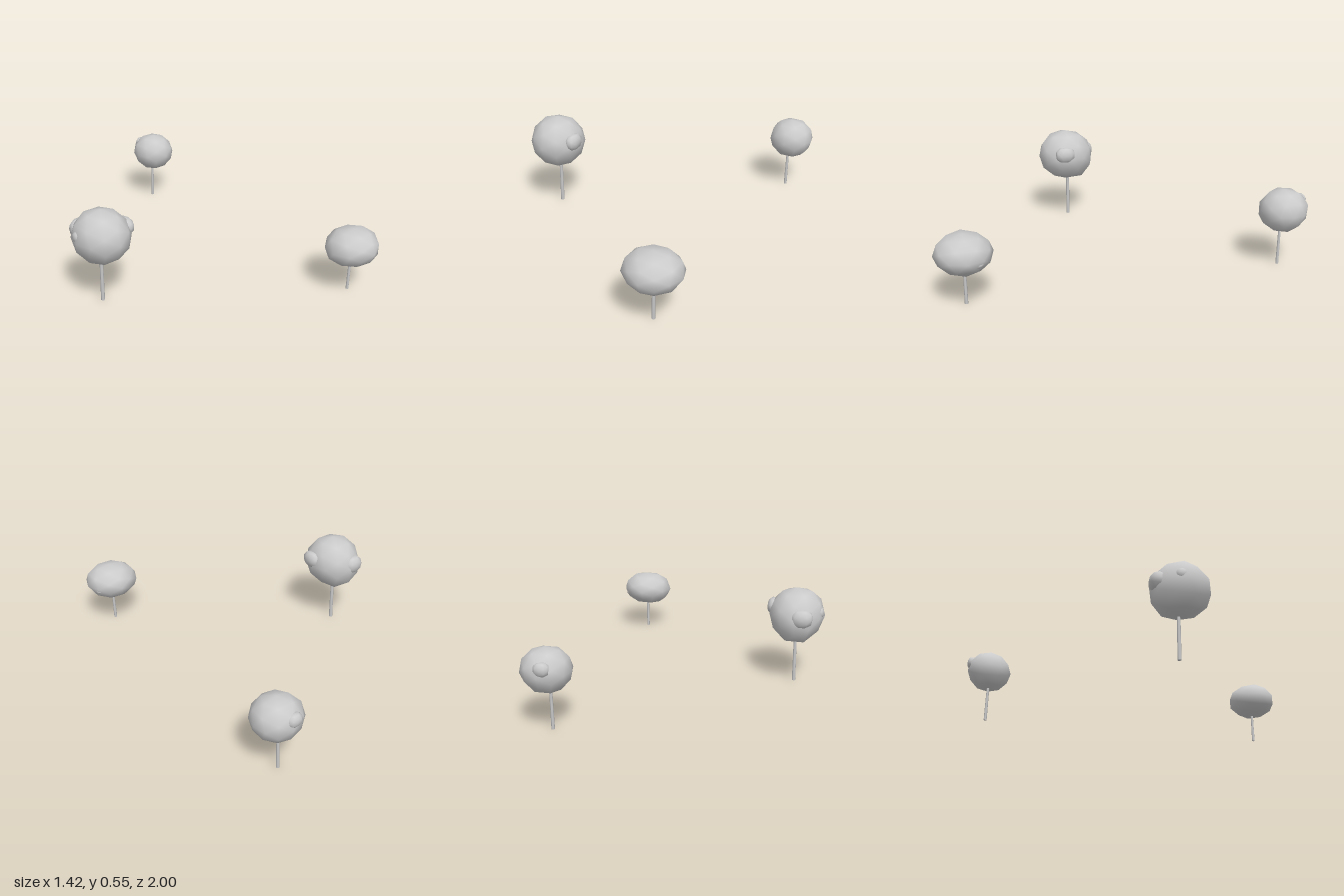
import * as THREE from 'three';
import { mergeVertices } from 'three/addons/utils/BufferGeometryUtils.js';

const material = new THREE.MeshStandardMaterial({ color: 0xcccccc });

// Smooth-shaded icosphere whose points are moved by a rule
function blob(detail, move) {
  let geo = new THREE.IcosahedronGeometry(1, detail);
  geo.deleteAttribute('normal');
  geo.deleteAttribute('uv');
  geo = mergeVertices(geo, 1e-4);
  const pos = geo.attributes.position;
  const v = new THREE.Vector3();
  for (let i = 0; i < pos.count; i++) {
    v.fromBufferAttribute(pos, i);
    move(v);
    pos.setXYZ(i, v.x, v.y, v.z);
  }
  geo.computeVertexNormals();
  return new THREE.Mesh(geo, material);
}

// Each tree: trunk base, crown bounds, directional bulges and small leaf lumps
const trees = [
  {
    name: 'largeTree', base: [-0.55, 0.045], radius: 0.011,
    min: [-0.705, 0.245, -0.11], max: [-0.395, 0.55, 0.225],
    bulges: [[-0.1, -0.75, -0.65, 0.12], [-0.8, 0.5, 0, 0.05]],
    lumps: [
      [-0.42, 0.427, 0.09, 0.038, 0.046, 0.058],
      [-0.59, 0.41, -0.075, 0.06, 0.05, 0.045],
      [-0.67, 0.42, 0.03, 0.034, 0.035, 0.035],
    ],
  },
  {
    name: 'backTree', base: [0.557, -0.86], radius: 0.009,
    min: [0.44, 0.2, -0.99], max: [0.7, 0.438, -0.73],
    bulges: [[-0.6, 0.5, -0.6, 0.08], [0.5, 0.5, -0.7, 0.06]],
    lumps: [
      [0.648, 0.29, -0.85, 0.03, 0.022, 0.04],
      [0.55, 0.36, -0.968, 0.04, 0.035, 0.03],
    ],
  },
  {
    name: 'frontTree', base: [0.55, 0.847], radius: 0.009,
    min: [0.41, 0.168, 0.7], max: [0.692, 0.373, 0.997],
    bulges: [[-0.85, -0.5, 0, 0.14], [-0.85, 0.5, 0, 0.1], [0.85, 0.5, 0, 0.1], [0.85, -0.5, 0, 0.05]],
    lumps: [
      [0.65, 0.25, 0.8, 0.03, 0.02, 0.035],
      [0.48, 0.325, 0.81, 0.035, 0.022, 0.025],
    ],
  },
];

function createTree(spec) {
  const tree = new THREE.Group();
  tree.name = spec.name;
  const min = new THREE.Vector3(...spec.min);
  const max = new THREE.Vector3(...spec.max);
  const centre = min.clone().add(max).multiplyScalar(0.5);
  const half = max.clone().sub(min).multiplyScalar(0.5);

  // Slender six-sided trunk reaching into the crown
  const height = min.y + 0.04;
  const trunk = new THREE.Mesh(
    new THREE.CylinderGeometry(spec.radius * 0.85, spec.radius, height, 6), material);
  trunk.name = 'trunk';
  trunk.position.set(spec.base[0], height / 2, spec.base[1]);
  tree.add(trunk);

  // Faceted round crown, pushed out along its bulge directions
  const bulges = spec.bulges.map(([x, y, z, amount]) =>
    ({ dir: new THREE.Vector3(x, y, z).normalize(), amount }));
  const crown = blob(1, (v) => {
    const out = bulges.reduce((sum, b) =>
      sum + b.amount * Math.max(0, (v.dot(b.dir) - 0.6) / 0.4), 1);
    v.multiplyScalar(out).multiply(half).add(centre);
  });
  crown.name = 'crown';
  tree.add(crown);

  // Small boxy leaf lumps half buried in the crown
  spec.lumps.forEach(([x, y, z, rx, ry, rz]) => {
    const lump = blob(1, (v) => {
      const box = Math.max(Math.abs(v.x), Math.abs(v.y), Math.abs(v.z));
      v.multiplyScalar(0.5 + 0.5 / box).multiply(new THREE.Vector3(rx, ry, rz));
    });
    lump.name = 'leafLump';
    lump.position.set(x, y, z);
    tree.add(lump);
  });
  return tree;
}

export function createModel() {
  const model = new THREE.Group();
  model.name = 'trees';
  trees.forEach((spec) => model.add(createTree(spec)));
  return model;
}
